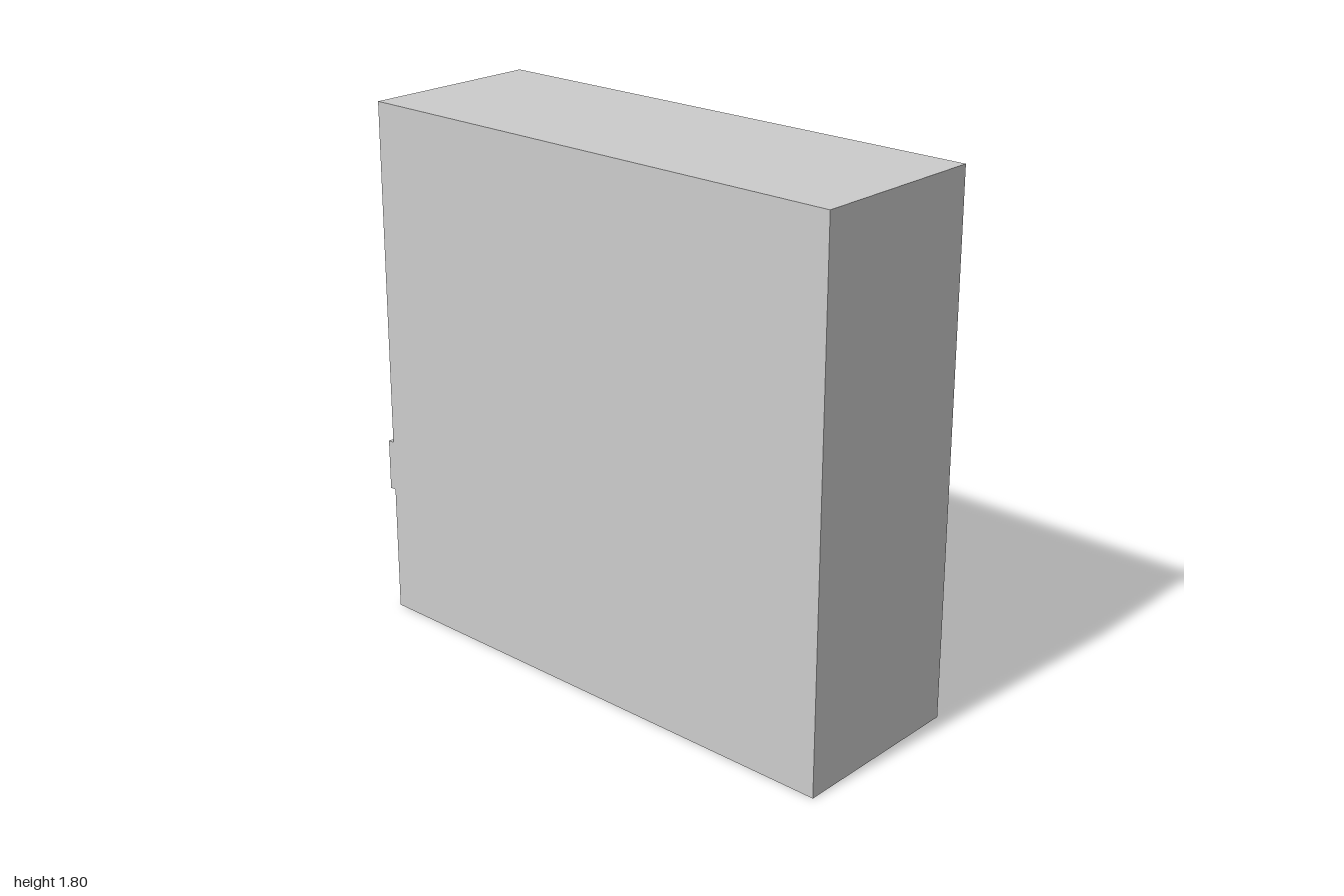
import * as THREE from 'three';

const W = 0.657, H = 1.8, D = 1.889, RECESS = 0.03;
const SHEAR = -0.0556; // side walls are slightly out of square with the facade

const mat = new THREE.MeshStandardMaterial({ color: 0xcccccc, flatShading: true });

// Facade coordinates: x along the wall, y up, z outward, wall surface at z = 0
export function createModel() {
  const model = new THREE.Group();
  model.name = 'building';
  const house = new THREE.Group();
  house.name = 'house';
  house.position.set(-0.085, 0, -0.9325);
  house.rotation.y = Math.PI + 0.1454;
  model.add(house);

  const add = (name, geometry, parent = house) => {
    const mesh = new THREE.Mesh(geometry, mat);
    mesh.name = name;
    parent.add(mesh);
    return mesh;
  };
  // Box given by its limits on each axis
  const box = (name, x0, x1, y0, y1, z0, z1, parent) => {
    const g = new THREE.BoxGeometry(x1 - x0, y1 - y0, z1 - z0);
    g.translate((x0 + x1) / 2, (y0 + y1) / 2, (z0 + z1) / 2);
    return add(name, g, parent);
  };
  const shear = (geometry) => {
    const p = geometry.attributes.position;
    for (let i = 0; i < p.count; i++) p.setX(i, p.getX(i) + SHEAR * p.getZ(i));
    geometry.computeVertexNormals();
    return geometry;
  };
  const rect = (Type, x0, x1, y0, y1) => new Type([
    [x0, y0], [x1, y0], [x1, y1], [x0, y1],
  ].map(([x, y]) => new THREE.Vector2(x, y)));

  const upper = { x: 0.082, y0: 1.155, y1: 1.393 };
  const lower = { x: 0.081, y0: 0.64, y1: 0.912 };

  // Main block
  shear(box('mainBlock', -W / 2, W / 2, 0, H, -D, -RECESS).geometry);

  // Facade wall with two window openings
  const wall = rect(THREE.Shape, -W / 2, W / 2, 0, H);
  for (const w of [upper, lower]) wall.holes.push(rect(THREE.Path, -w.x, w.x, w.y0, w.y1));
  const wallGeo = new THREE.ExtrudeGeometry(wall, { depth: RECESS, bevelEnabled: false });
  wallGeo.translate(0, 0, -RECESS);
  add('facadeWall', shear(wallGeo));

  // Projecting band
  box('band', -W / 2, W / 2, 0.44, 0.615, -0.001, 0.022);

  // Upper window: three by four panes
  const top = new THREE.Group();
  top.name = 'upperWindow';
  house.add(top);
  const cols = 3, rows = 4, bar = 0.005;
  for (let i = 0; i <= cols; i++) {
    const x = -upper.x + bar + (i / cols) * 2 * (upper.x - bar);
    box('verticalBar', x - bar, x + bar, upper.y0, upper.y1, -RECESS, -0.016, top);
  }
  for (let j = 0; j <= rows; j++) {
    const y = upper.y0 + bar + (j / rows) * (upper.y1 - upper.y0 - 2 * bar);
    box('horizontalBar', -upper.x, upper.x, y - bar, y + bar, -RECESS, -0.017, top);
  }
  box('sill', -0.09, 0.09, 1.138, 1.157, -RECESS, 0.01, top);

  // Lower window: two sashes, the upper one further forward
  const bottom = new THREE.Group();
  bottom.name = 'lowerWindow';
  house.add(bottom);
  const mid = 0.78;
  box('upperSash', -lower.x, lower.x, mid, lower.y1, -RECESS, -0.012, bottom);
  box('lowerSash', -lower.x, lower.x, lower.y0, mid, -RECESS, -0.022, bottom);
  box('sill', -lower.x, lower.x, lower.y0 - 0.008, lower.y0 + 0.006, -RECESS, 0.004, bottom);

  return model;
}
